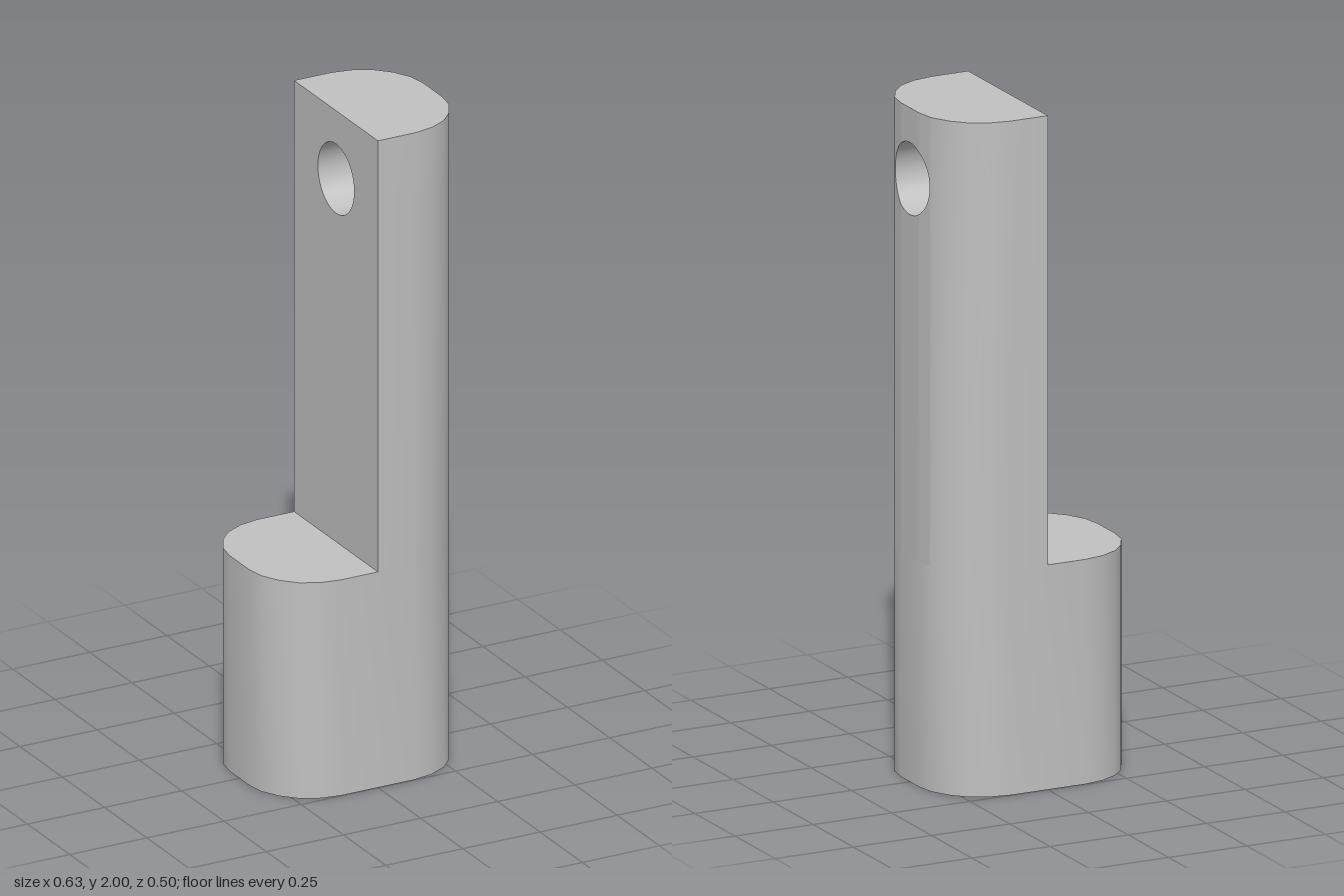
import * as THREE from 'three';
import { toCreasedNormals } from 'three/addons/utils/BufferGeometryUtils.js';

// One quarter of the rounded outline, as [x, z]
const QUARTER = [[0.313, 0.055], [0.304, 0.113], [0.275, 0.167], [0.234, 0.21], [0.18, 0.237], [0.12, 0.248]];
const STEP = 0.667, TOP = 2, HOLE_Y = 1.79, HOLE_R = 0.107, CREASE = 0.6;

// Half width of the outline at depth z
function outerX(z) {
  const d = Math.abs(z);
  if (d <= QUARTER[0][1]) return QUARTER[0][0];
  for (let i = 1; i < QUARTER.length; i++) {
    const [x0, z0] = QUARTER[i - 1], [x1, z1] = QUARTER[i];
    if (d <= z1) return x0 + (x1 - x0) * (d - z0) / (z1 - z0);
  }
  return QUARTER[QUARTER.length - 1][0];
}

// Full-outline block at the bottom
function baseGeometry() {
  const back = [...QUARTER].reverse();
  const points = [
    ...QUARTER,
    ...back.map(([x, z]) => [-x, z]),
    ...QUARTER.map(([x, z]) => [-x, -z]),
    ...back.map(([x, z]) => [x, -z]),
  ].map(([x, z]) => new THREE.Vector2(x, z));
  const geometry = new THREE.ExtrudeGeometry(new THREE.Shape(points), { depth: STEP, bevelEnabled: false });
  geometry.rotateX(-Math.PI / 2);
  return toCreasedNormals(geometry, CREASE);
}

// Half-outline upright with a round cross hole, built in columns along z
function uprightGeometry() {
  const zs = [];
  for (const [, z] of QUARTER) zs.push(z, -z);
  for (let i = 0; i <= 32; i++) zs.push(HOLE_R * Math.cos(Math.PI * i / 32));
  zs.sort((a, b) => a - b);

  const positions = [];
  const quad = (a, b, c, d) => positions.push(...a, ...b, ...c, ...a, ...c, ...d);
  const rise = z => Math.abs(z) < HOLE_R - 1e-6 ? Math.sqrt(HOLE_R ** 2 - z * z) : 0;

  for (let i = 0; i < zs.length - 1; i++) {
    const a = zs[i], b = zs[i + 1];
    if (b - a < 1e-6) continue;
    const xa = outerX(a), xb = outerX(b), ha = rise(a), hb = rise(b);
    // Curved outside and flat inside, below and above the hole
    const spans = [
      [STEP, STEP, HOLE_Y - ha, HOLE_Y - hb],
      [HOLE_Y + ha, HOLE_Y + hb, TOP, TOP],
    ];
    for (const [a0, b0, a1, b1] of spans) {
      quad([xb, b0, b], [xa, a0, a], [xa, a1, a], [xb, b1, b]);
      quad([0, a0, a], [0, b0, b], [0, b1, b], [0, a1, a]);
    }
    // Top face
    quad([0, TOP, b], [xb, TOP, b], [xa, TOP, a], [0, TOP, a]);
    // Floor and ceiling of the hole
    if (ha + hb > 0) {
      const lowA = HOLE_Y - ha, lowB = HOLE_Y - hb, highA = HOLE_Y + ha, highB = HOLE_Y + hb;
      quad([0, lowB, b], [xb, lowB, b], [xa, lowA, a], [0, lowA, a]);
      quad([0, highA, a], [xa, highA, a], [xb, highB, b], [0, highB, b]);
    }
  }
  // Flat front and back sides
  const [sx, sz] = QUARTER[QUARTER.length - 1];
  for (const [y0, y1] of [[STEP, HOLE_Y], [HOLE_Y, TOP]]) {
    quad([0, y0, sz], [sx, y0, sz], [sx, y1, sz], [0, y1, sz]);
    quad([sx, y0, -sz], [0, y0, -sz], [0, y1, -sz], [sx, y1, -sz]);
  }
  const geometry = new THREE.BufferGeometry();
  geometry.setAttribute('position', new THREE.Float32BufferAttribute(positions, 3));
  return toCreasedNormals(geometry, CREASE);
}

export function createModel() {
  const grey = new THREE.MeshStandardMaterial({ color: 0xc0c0c0 });
  grey.name = 'plain grey';
  const group = new THREE.Group();
  group.name = 'steppedPin';
  const add = (name, geometry) => {
    const mesh = new THREE.Mesh(geometry, grey);
    mesh.name = name;
    group.add(mesh);
  };
  add('base', baseGeometry());
  add('drilledUpright', uprightGeometry());
  return group;
}
